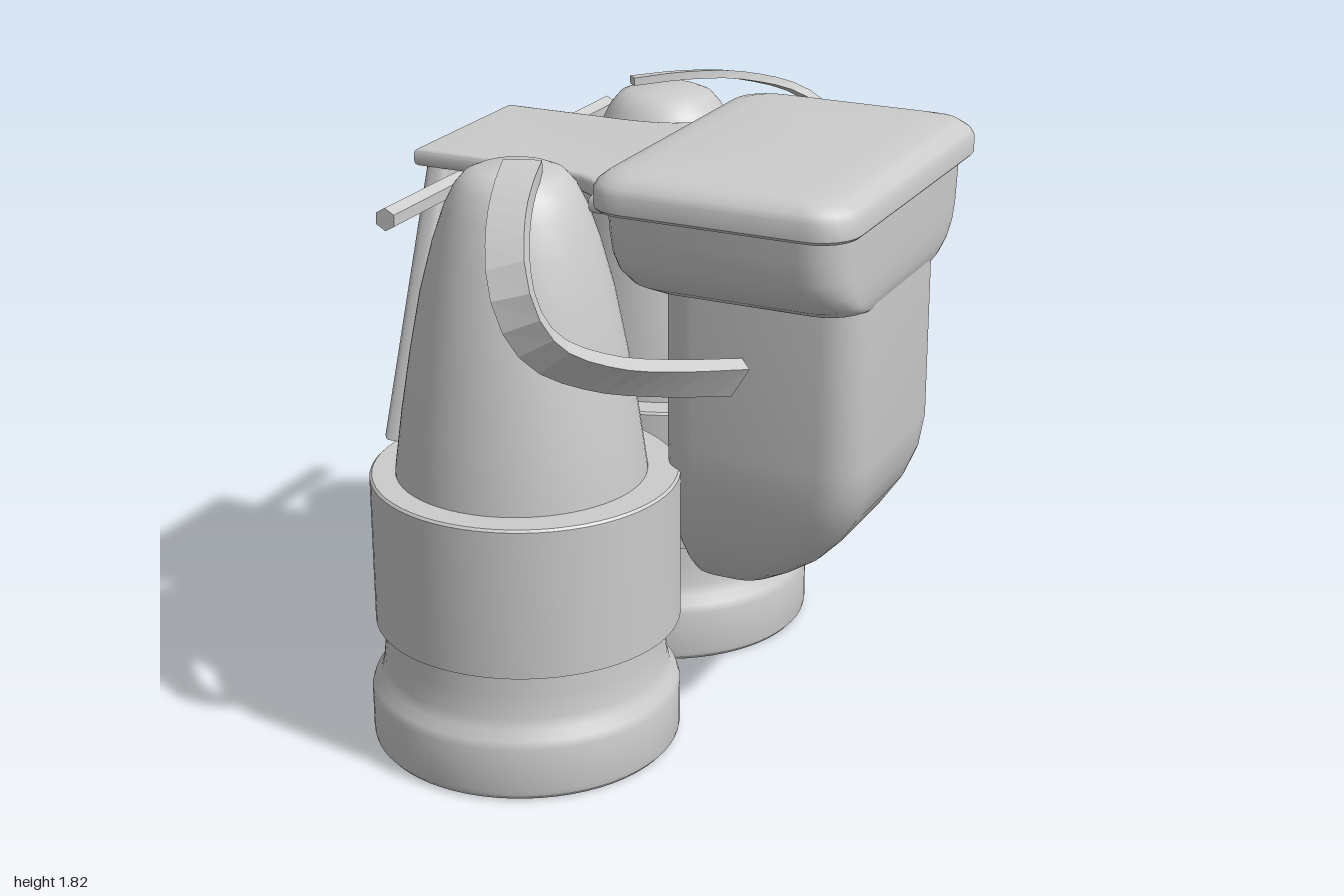
import * as THREE from 'three';
import { toCreasedNormals } from 'three/addons/utils/BufferGeometryUtils.js';

const MID = -0.045; // z of the mirror plane between the two bottles
const grey = new THREE.MeshStandardMaterial({ color: 0xcccccc });
const faceted = new THREE.MeshStandardMaterial({ color: 0xcccccc, flatShading: true });

function part(parent, name, geometry, material = grey) {
  const mesh = new THREE.Mesh(geometry, material);
  mesh.name = name;
  parent.add(mesh);
  return mesh;
}

// Closed skin over equal rings, each counter-clockwise about the travel direction
function skin(rings) {
  const n = rings[0].length, pos = [], index = [];
  rings.forEach(r => r.forEach(p => pos.push(p.x, p.y, p.z)));
  for (let i = 0; i < rings.length - 1; i++) {
    for (let j = 0; j < n; j++) {
      const a = i * n + j, b = i * n + (j + 1) % n;
      index.push(a, b, a + n, b, b + n, a + n);
    }
  }
  [0, rings.length - 1].forEach((i, end) => {
    const c = new THREE.Vector3();
    rings[i].forEach(p => c.addScaledVector(p, 1 / n));
    const k = pos.length / 3;
    pos.push(c.x, c.y, c.z);
    for (let j = 0; j < n; j++) {
      const a = i * n + j, b = i * n + (j + 1) % n;
      if (end) index.push(k, a, b); else index.push(k, b, a);
    }
  });
  const g = new THREE.BufferGeometry();
  g.setAttribute('position', new THREE.Float32BufferAttribute(pos, 3));
  g.setIndex(index);
  g.computeVertexNormals();
  return g;
}

// Horizontal rounded rectangle: height, x from/to, half depth, corner radius
function roundedRing([y, x0, x1, hz, r]) {
  const ring = [], hx = (x1 - x0) / 2, cx = (x0 + x1) / 2;
  r = Math.min(r, hx * 0.98, hz * 0.98);
  [[1, 1], [-1, 1], [-1, -1], [1, -1]].forEach(([sx, sz], q) => {
    for (let k = 0; k <= 6; k++) {
      const t = (q + k / 6) * Math.PI / 2;
      ring.push(new THREE.Vector3(cx + sx * (hx - r) + r * Math.cos(t), y,
        MID - sz * (hz - r) - r * Math.sin(t)));
    }
  });
  return ring;
}
const loft = sections => toCreasedNormals(skin(sections.map(roundedRing)), 0.7);

// Flat strip swept along a curve; its wide side turns from one direction to another
function strip(points, width, thick, sideA, sideB, steps) {
  const curve = new THREE.CatmullRomCurve3(points.map(p => new THREE.Vector3(...p)));
  const rings = [];
  for (let i = 0; i <= steps; i++) {
    const c = curve.getPointAt(i / steps), t = curve.getTangentAt(i / steps);
    const hint = new THREE.Vector3(...sideA).lerp(new THREE.Vector3(...sideB), i / steps);
    const n = t.clone().cross(hint).normalize(), w = n.clone().cross(t);
    rings.push([[1, 1], [-1, 1], [-1, -1], [1, -1]].map(([a, b]) =>
      c.clone().addScaledVector(w, a * width / 2).addScaledVector(n, b * thick / 2)));
  }
  return skin(rings);
}

const lathe = profile => toCreasedNormals(
  new THREE.LatheGeometry(profile.map(p => new THREE.Vector2(...p)), 64), 0.5);

// Bottle with hollow foot, wide collar and domed cone
function bottle(name, z) {
  const g = new THREE.Group();
  g.name = name;
  g.position.set(-0.045, 0, z);
  part(g, 'foot', lathe([
    [0, 0.4], [0.1, 0.4], [0.1, 0.36], [0.14, 0.36], [0.24, 0.32], [0.32, 0.22], [0.36, 0.11],
    [0.38, 0.02], [0.395, 0], [0.45, 0], [0.463, 0.015], [0.466, 0.03], [0.466, 0.165],
    [0.458, 0.19], [0.437, 0.215], [0.428, 0.25], [0.42, 0.32], [0.42, 0.45], [0, 0.45]]));
  part(g, 'collar', lathe([
    [0.36, 0.395], [0.457, 0.395], [0.457, 0.85], [0.45, 0.857], [0.36, 0.857]])).position.x = 0.012;
  part(g, 'cone', lathe([
    [0.375, 0.8], [0.37, 0.87], [0.345, 1.05], [0.315, 1.23], [0.28, 1.41], [0.24, 1.56],
    [0.205, 1.66], [0.175, 1.72], [0.145, 1.755], [0.11, 1.77], [0, 1.775]]));
  return g;
}

export function createModel() {
  const model = new THREE.Group();
  model.name = 'twinBottlePack';

  [-1, 1].forEach(s => model.add(bottle(s > 0 ? 'frontBottle' : 'backBottle', MID + s * 0.49)));

  // Tank: rounded stem, flared tub and lid
  const tank = new THREE.Group();
  tank.name = 'tank';
  model.add(tank);
  part(tank, 'tankStem', loft([
    [0.41, 0.36, 0.48, 0.02, 0.02], [0.42, 0.33, 0.53, 0.075, 0.07], [0.45, 0.32, 0.59, 0.14, 0.1],
    [0.5, 0.31, 0.67, 0.19, 0.12], [0.57, 0.31, 0.76, 0.24, 0.12], [0.65, 0.31, 0.835, 0.275, 0.12],
    [0.74, 0.31, 0.895, 0.305, 0.12], [0.83, 0.31, 0.93, 0.322, 0.12], [0.93, 0.31, 0.945, 0.33, 0.12],
    [1.45, 0.31, 0.945, 0.33, 0.12]]));
  part(tank, 'tankTub', loft([
    [1.41, 0.31, 0.94, 0.33, 0.12], [1.425, 0.285, 0.945, 0.39, 0.12], [1.455, 0.255, 0.948, 0.45, 0.12],
    [1.5, 0.235, 0.95, 0.49, 0.12], [1.55, 0.225, 0.95, 0.51, 0.12], [1.62, 0.22, 0.95, 0.52, 0.12],
    [1.7, 0.22, 0.95, 0.53, 0.12]]));
  part(tank, 'lid', loft([
    [1.685, 0.2, 0.975, 0.55, 0.11], [1.695, 0.19, 0.985, 0.56, 0.12], [1.745, 0.19, 0.985, 0.56, 0.12],
    [1.765, 0.2, 0.975, 0.55, 0.12], [1.785, 0.225, 0.95, 0.525, 0.11], [1.795, 0.26, 0.91, 0.49, 0.1],
    [1.8, 0.32, 0.84, 0.42, 0.08]]));

  // Bridge plate that flares towards the tank
  const plate = new THREE.Shape();
  plate.moveTo(-0.48, -0.27);
  plate.lineTo(-0.1, -0.27);
  plate.bezierCurveTo(0.06, -0.27, 0.17, -0.32, 0.2, -0.47);
  plate.lineTo(0.4, -0.47);
  plate.lineTo(0.4, 0.47);
  plate.lineTo(0.2, 0.47);
  plate.bezierCurveTo(0.17, 0.32, 0.06, 0.27, -0.1, 0.27);
  plate.lineTo(-0.48, 0.27);
  const bridge = new THREE.ExtrudeGeometry(plate,
    { depth: 0.025, bevelSize: 0.018, bevelThickness: 0.015, bevelSegments: 3, curveSegments: 16 });
  bridge.rotateX(Math.PI / 2);
  part(model, 'bridgePlate', toCreasedNormals(bridge, 0.6)).position.set(0, 1.703, MID);

  // Hanging panel with a window
  const trapezoid = new THREE.Shape([[-0.5, 0.9], [0.5, 0.9], [0.25, 1.68], [-0.25, 1.68]]
    .map(p => new THREE.Vector2(...p)));
  trapezoid.holes.push(new THREE.Path([[-0.16, 1.1], [-0.13, 1.5], [0.13, 1.5], [0.16, 1.1]]
    .map(p => new THREE.Vector2(...p))));
  const panel = new THREE.ExtrudeGeometry(trapezoid,
    { depth: 0.03, bevelSize: 0.025, bevelThickness: 0.02, bevelSegments: 3 });
  panel.rotateY(-Math.PI / 2);
  const p = panel.attributes.position;
  for (let i = 0; i < p.count; i++) p.setX(i, p.getX(i) + 0.04 * (p.getY(i) - 0.87)); // lean inwards
  part(model, 'windowPanel', toCreasedNormals(panel, 0.6)).position.set(-0.45, 0, MID);

  // Grip bars either side of the plate
  [-1, 1].forEach(s => {
    const bar = part(model, s > 0 ? 'frontGrip' : 'backGrip',
      new THREE.CylinderGeometry(0.034, 0.034, 0.46, 6), faceted);
    bar.rotation.x = Math.PI / 2;
    bar.position.set(-0.355, 1.63, MID + s * 0.46);
  });

  // Segmented hoses from the bottle tips to the tank
  part(model, 'frontHose', strip([
    [0.0, 1.785, 0.48], [0.07, 1.765, 0.66], [0.15, 1.72, 0.84], [0.215, 1.63, 0.955], [0.25, 1.53, 0.965],
    [0.29, 1.42, 0.9], [0.37, 1.32, 0.74], [0.46, 1.25, 0.54], [0.58, 1.19, 0.3]],
    0.11, 0.045, [0.9, 0, -0.4], [0.55, 0.85, 0], 20), faceted);
  part(model, 'backHose', strip([
    [-0.12, 1.805, -0.45], [0.0, 1.805, -0.59], [0.13, 1.785, -0.73], [0.28, 1.71, -0.88],
    [0.41, 1.57, -0.94], [0.52, 1.44, -0.9], [0.63, 1.3, -0.77], [0.73, 1.17, -0.6], [0.79, 1.05, -0.36]],
    0.035, 0.025, [0.7, 0, 0.7], [0.5, 0.85, 0], 28), faceted);

  return model;
}
